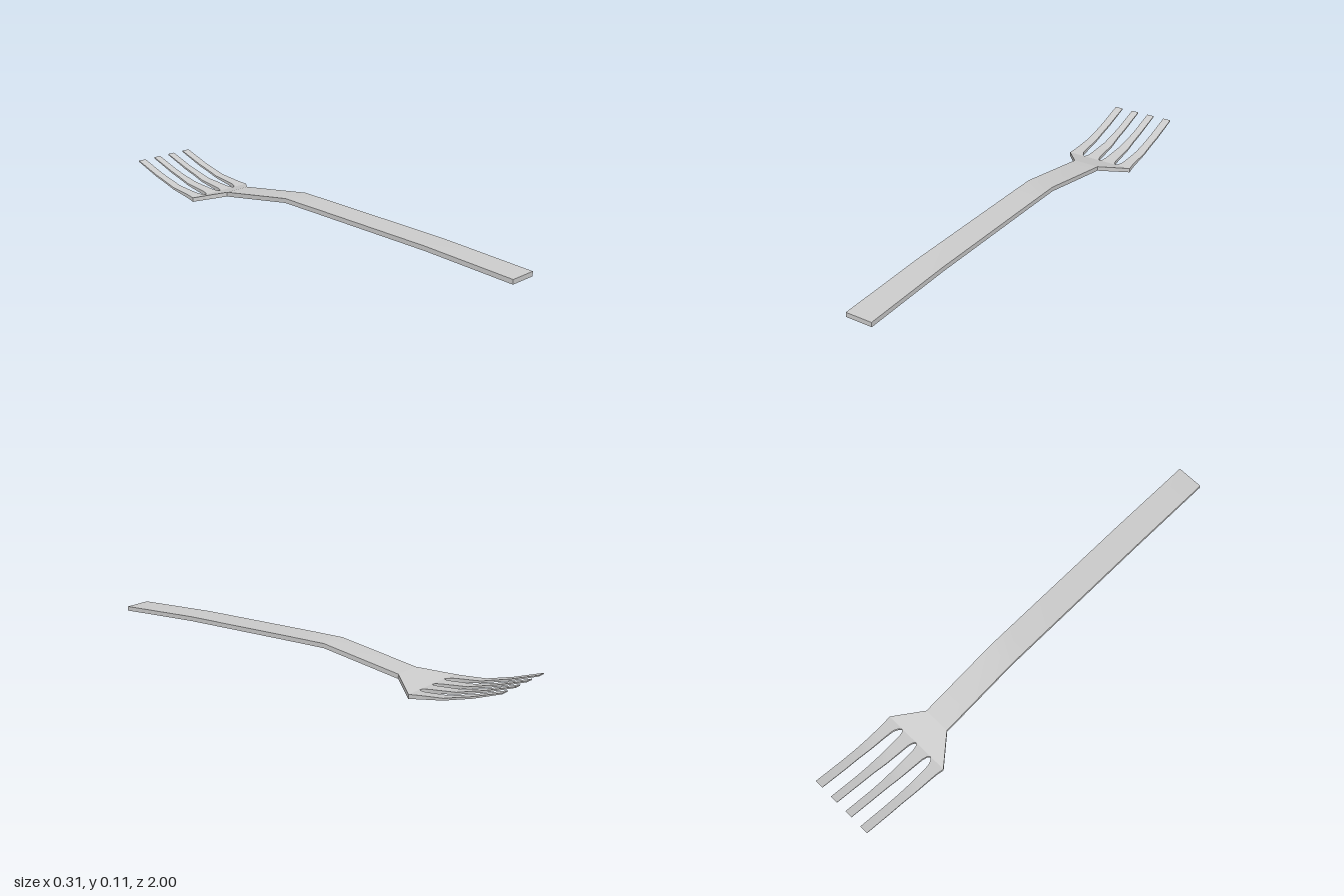
import * as THREE from 'three';
import { toCreasedNormals } from 'three/addons/utils/BufferGeometryUtils.js';

const material = new THREE.MeshStandardMaterial({ color: 0xcccccc });

// Side profile of the fork: [z, underside y, upper y]
const PROFILE = [
  [1, 0.028, 0.047], [0.6, 0.053, 0.072], [0, 0.073, 0.092], [-0.14, 0.077, 0.096],
  [-0.5, 0.028, 0.047], [-0.615, 0, 0.018], [-0.76, 0.025, 0.034],
  [-0.88, 0.059, 0.067], [-1, 0.103, 0.108],
];

function heightsAt(z) {
  let i = 0;
  while (i < PROFILE.length - 2 && z < PROFILE[i + 1][0]) i++;
  const [a, b] = [PROFILE[i], PROFILE[i + 1]];
  const t = (z - a[0]) / (b[0] - a[0]);
  return [1, 2].map((k) => THREE.MathUtils.lerp(a[k], b[k], t));
}

// Loft a bar through stations [z, xMin, xMax], running from front to back
function loft(name, stations, capFront, capBack) {
  const rings = stations.map(([z, x0, x1]) => {
    const [low, high] = heightsAt(z);
    return [[x0, low, z], [x1, low, z], [x1, high, z], [x0, high, z]];
  });
  const positions = [];
  const quad = (a, b, c, d) => positions.push(...a, ...b, ...c, ...a, ...c, ...d);
  for (let s = 0; s < rings.length - 1; s++) {
    const [a, b] = [rings[s], rings[s + 1]];
    for (let i = 0; i < 4; i++) {
      const j = (i + 1) % 4;
      quad(a[i], b[i], b[j], a[j]);
    }
  }
  if (capFront) quad(...rings[0]);
  if (capBack) quad(...rings[rings.length - 1].slice().reverse());
  const geometry = new THREE.BufferGeometry();
  geometry.setAttribute('position', new THREE.Float32BufferAttribute(positions, 3));
  geometry.computeVertexNormals();
  const mesh = new THREE.Mesh(toCreasedNormals(geometry, 0.5), material);
  mesh.name = name;
  return mesh;
}

export function createModel() {
  const group = new THREE.Group();
  group.name = 'fork';

  // Long handle bar
  const handle = [1, 0.6, 0, -0.14, -0.5].map((z) => [z, -0.058, 0.058]);
  group.add(loft('handle', handle, true, false));

  // Flared head
  group.add(loft('head', [[-0.5, -0.058, 0.058], [-0.615, -0.153, 0.153]], false, false));

  // Tines: roots meet at the head, then narrow to open rounded slots
  const tines = {
    innerTine: [
      [-0.615, 0, 0.08], [-0.625, 0.009, 0.071], [-0.645, 0.014, 0.066], [-0.69, 0.016, 0.064],
      [-0.76, 0.019, 0.061], [-0.82, 0.023, 0.058], [-0.88, 0.024, 0.057], [-1, 0.024, 0.057],
    ],
    outerTine: [
      [-0.615, 0.08, 0.153], [-0.625, 0.091, 0.152], [-0.645, 0.1, 0.149], [-0.69, 0.103, 0.147],
      [-0.76, 0.105, 0.145], [-0.82, 0.107, 0.143], [-0.88, 0.107, 0.143], [-1, 0.107, 0.143],
    ],
  };
  for (const [name, stations] of Object.entries(tines)) {
    group.add(loft(name + 'Left', stations, false, true));
    const mirrored = stations.map(([z, x0, x1]) => [z, -x1, -x0]);
    group.add(loft(name + 'Right', mirrored, false, true));
  }
  return group;
}
